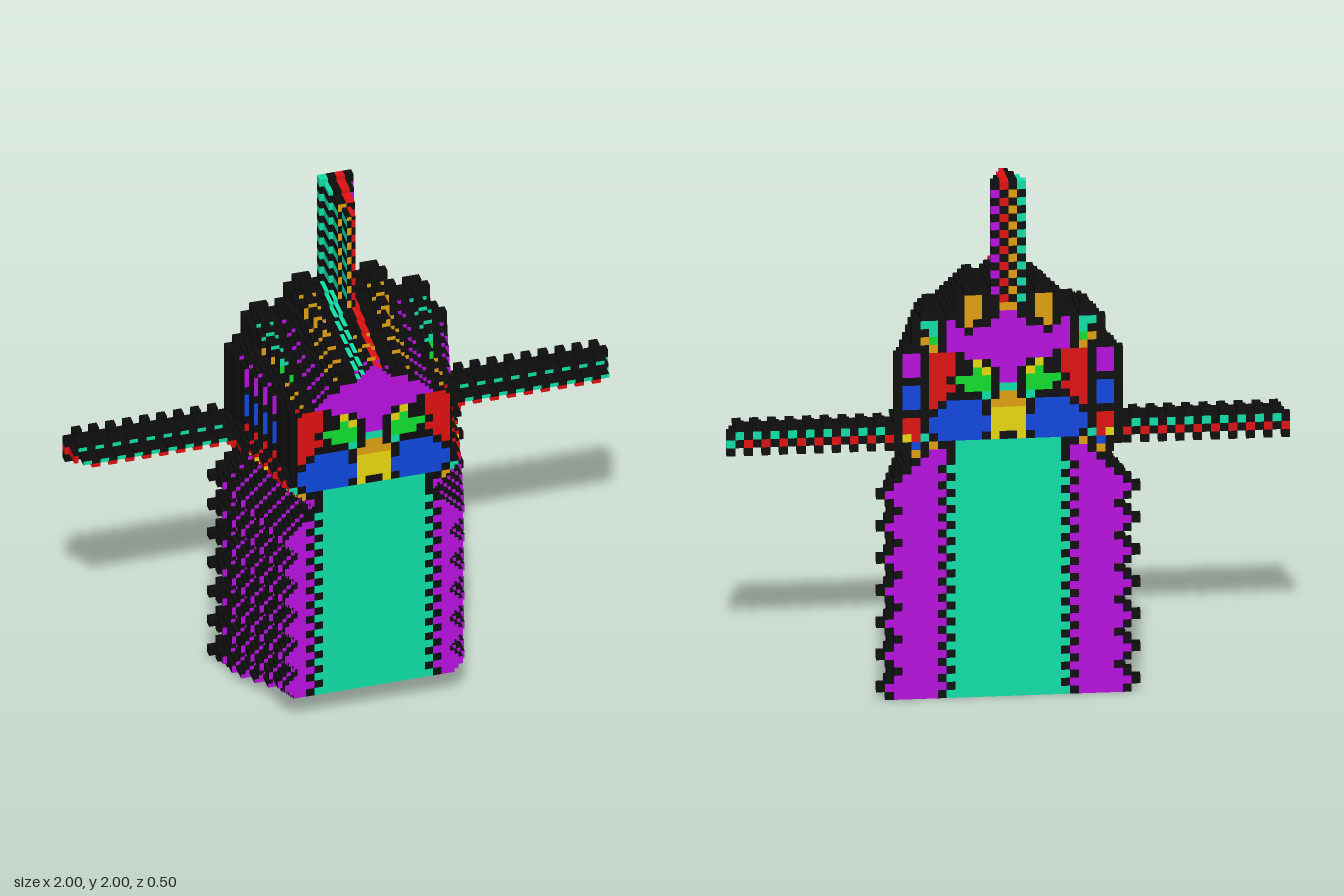
import * as THREE from 'three';

const COLORS = {
  K: 0x0d0d0d, P: 0xb80fe0, T: 0x10dfa8, R: 0xe01010,
  O: 0xe0a010, B: 0x1048e0, Y: 0xe8d810, G: 0x10e030,
};

const CELLS = 64;            // pixel cells per side
const N = CELLS * 2;         // each cell is split in two for the stepped relief
const S = 2 / N;             // size of a half cell
const BACK = -0.25, DEPTH = 0.5;

// Right half of the head, from the ears (row 50) down to the collar (row 30)
const HEAD = [
  '...KK........',
  'KKKOOK.......',
  'OKKOOK.......',
  'PKKOOKK.KK...',
  'PPKKOKPKTTK..',
  'PPPPKPPKTKK..',
  'PPPPPPPKGOK..',
  'PPPPPPPKOKKK.',
  'PPPPPKRRRKPPK',
  'PPKYKKRRRKPPK',
  'PKYGKKRRRKPPK',
  'PKGGGGKRRKKKK',
  'TKGGGKRRRKBBK',
  'OKTKKKKRRKBBK',
  'OOKBBBBKRKBBK',
  'YYKBBBBBKKKKK',
  'YYBBBBBBBKRRK',
  'YYBBBBBBBKRRK',
  'KYKBBBBBKTRYK',
  'TTTTTTKKOKBKK',
  'TTTTTTKPPKOK.',
];
const HEAD_TOP = 50, HEAD_BOTTOM = 30;

// Body: plain front panel, stitched border, flank with a zigzag edge
function bodyCell(k, row) {
  const edge = row > 25 ? 39 - row : [13, 14, 13, 12][row % 4];
  if (k > edge) return null;
  if (k === edge) return 'K';
  const border = row % 2 ? 6 : 7;
  if (k === border) return 'K';
  return k < border ? 'T' : 'P';
}

// Arm: two coloured rows in a checker, with notched black rows above and below
function armCell(c, k, row) {
  const black = (31 - k + row) % 2 === 1;
  if (black) return 'K';
  if (row === 31 || row === 34) return null;
  if (row === 33) return 'T';
  return c === 31 ? 'T' : 'R';
}

// Part name and colour letter of a cell; c runs from -32 to 31
function cellAt(c, row) {
  const k = c >= 0 ? c : -c - 1;
  if (row < 0 || row >= CELLS || k > 31) return null;
  let part, color;
  if (row >= 49 && k < 2) {
    part = 'spike';
    color = (c + row) % 2 ? 'TORP'[c + 2] : 'K';
  } else if (k > 12 && row >= 31 && row <= 34) {
    part = c < 0 ? 'rightArm' : 'leftArm';
    color = armCell(c, k, row);
  } else if (row >= HEAD_BOTTOM) {
    part = 'head';
    color = row <= HEAD_TOP ? HEAD[HEAD_TOP - row][k] : null;
    if (color === '.') color = null;
  } else {
    part = 'body';
    color = bodyCell(k, row);
  }
  return color ? { part, color } : null;
}

export function createModel() {
  const cell = (i, j) => cellAt(Math.floor(i / 2) - 32, Math.floor(j / 2));

  // Steps to the nearest empty half cell, by two sweeps
  const W = N + 2;
  const dist = new Int16Array(W * W);
  const at = (i, j) => (j + 1) * W + i + 1;
  for (let j = 0; j < N; j++) for (let i = 0; i < N; i++) {
    if (cell(i, j)) dist[at(i, j)] = 1 + Math.min(dist[at(i - 1, j)], dist[at(i, j - 1)]);
  }
  for (let j = N - 1; j >= 0; j--) for (let i = N - 1; i >= 0; i--) {
    const a = at(i, j);
    if (dist[a]) dist[a] = Math.min(dist[a], 1 + dist[at(i + 1, j)], 1 + dist[at(i, j + 1)]);
  }
  // Thickness grows in ledges away from the outline
  const front = (i, j) => {
    const d = dist[at(i, j)];
    return BACK + (d ? Math.min(DEPTH, S * 2 + (d - 1) * S * 4) : 0);
  };

  // Colours of the outermost cells, carried along the sides
  const rowEnd = [[], []], colEnd = [[], []];
  for (let j = 0; j < N; j++) for (let i = 0; i < N; i++) {
    const p = cell(i, j);
    if (!p) continue;
    rowEnd[0][j] ??= p.color;
    rowEnd[1][j] = p.color;
    colEnd[0][i] ??= p.color;
    colEnd[1][i] = p.color;
  }

  // Quads gathered by part and colour
  const parts = {};
  function quad(part, color, a, b, c, d) {
    const list = ((parts[part] ??= {})[color] ??= []);
    list.push(...a, ...b, ...c, ...a, ...c, ...d);
  }

  for (let j = 0; j < N; j++) for (let i = 0; i < N; i++) {
    const p = cell(i, j);
    if (!p) continue;
    const x0 = i * S - 1, x1 = x0 + S, y0 = j * S, y1 = y0 + S;
    const z = front(i, j);
    quad(p.part, p.color, [x0, y0, z], [x1, y0, z], [x1, y1, z], [x0, y1, z]);
    quad(p.part, p.color, [x1, y0, BACK], [x0, y0, BACK], [x0, y1, BACK], [x1, y1, BACK]);
    // Walls down to lower neighbours
    const wall = (di, dj, color, a, b) => {
      const low = front(i + di, j + dj);
      if (low < z) quad(p.part, color, [...a, z], [...a, low], [...b, low], [...b, z]);
    };
    wall(1, 0, rowEnd[1][j], [x1, y0], [x1, y1]);
    wall(-1, 0, rowEnd[0][j], [x0, y1], [x0, y0]);
    wall(0, 1, colEnd[1][i], [x1, y1], [x0, y1]);
    wall(0, -1, colEnd[0][i], [x0, y0], [x1, y0]);
  }

  // One group per part, one mesh per colour
  const model = new THREE.Group();
  model.name = 'pixelFigure';
  const materials = {};
  for (const [name, byColor] of Object.entries(parts)) {
    const group = new THREE.Group();
    group.name = name;
    for (const [letter, points] of Object.entries(byColor)) {
      const geometry = new THREE.BufferGeometry();
      geometry.setAttribute('position', new THREE.Float32BufferAttribute(points, 3));
      geometry.computeVertexNormals();
      materials[letter] ??= new THREE.MeshStandardMaterial({ color: COLORS[letter] });
      const mesh = new THREE.Mesh(geometry, materials[letter]);
      mesh.name = name + 'Blocks';
      group.add(mesh);
    }
    model.add(group);
  }
  return model;
}
